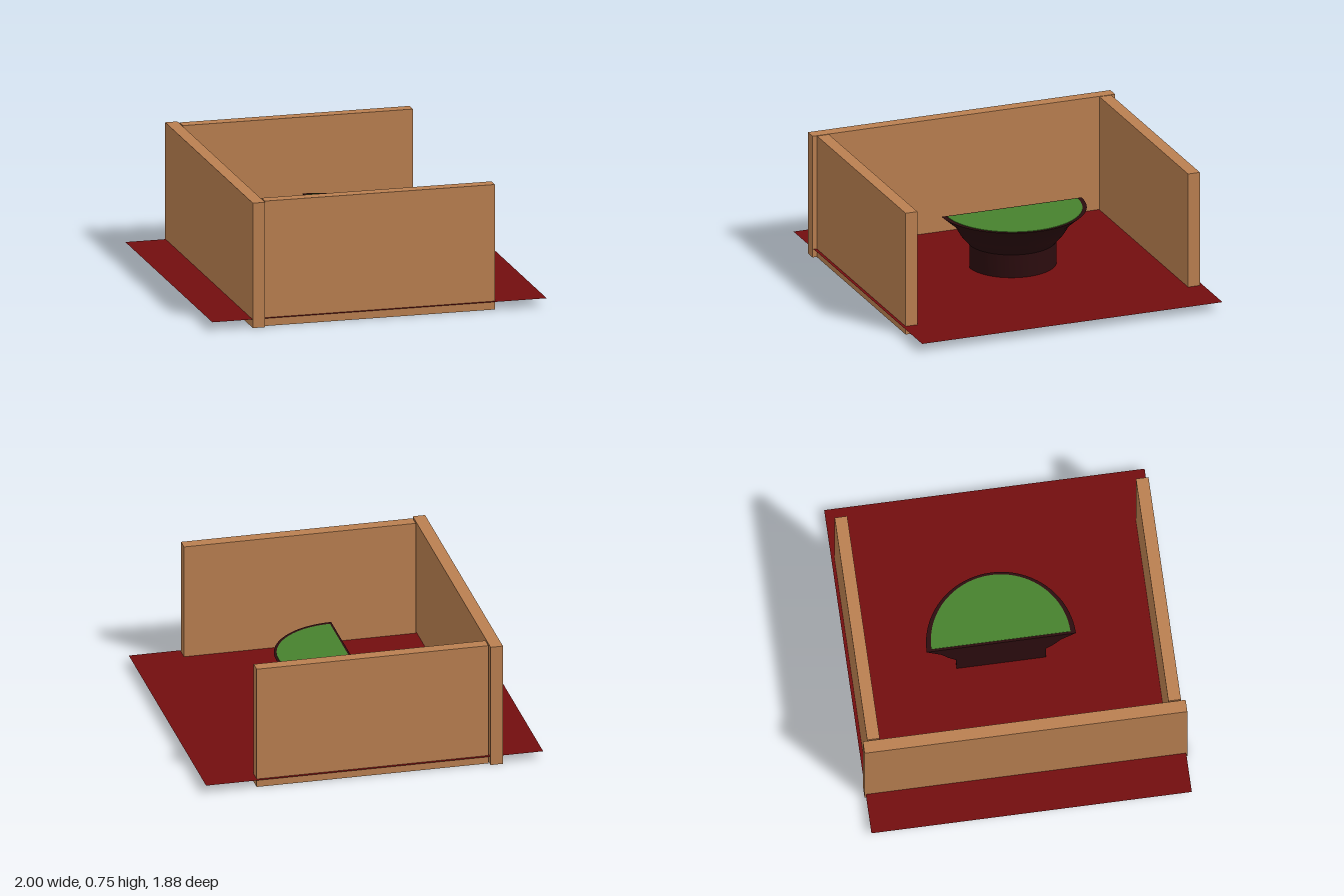
import * as THREE from 'three';
import { toCreasedNormals } from 'three/addons/utils/BufferGeometryUtils.js';

const mat = (name, color, side = THREE.FrontSide) => {
  const m = new THREE.MeshStandardMaterial({ color, side });
  m.name = name;
  return m;
};

export function createModel() {
  const wood = mat('tan wood', 0xb97f50);
  const carpet = mat('dark red carpet', 0x720d0e, THREE.DoubleSide);
  const darkWood = mat('very dark wood', 0x2b0c0e, THREE.DoubleSide);
  const felt = mat('green felt', 0x47812d);

  const model = new THREE.Group();
  const add = (parent, name, geometry, material, x = 0, y = 0, z = 0) => {
    const mesh = new THREE.Mesh(geometry, material);
    mesh.name = name;
    mesh.position.set(x, y, z);
    parent.add(mesh);
    return mesh;
  };

  // Floor sheet, slightly above the feet of the walls
  const floorY = 0.05;
  add(model, 'floor', new THREE.PlaneGeometry(2, 1.863).rotateX(-Math.PI / 2), carpet, 0, floorY, 0);

  // Three walls, open on the +x side
  const wallHeight = 0.745;
  add(model, 'longWall', new THREE.BoxGeometry(0.073, wallHeight, 1.877), wood, -0.723, wallHeight / 2, 0);
  for (const [name, side] of [['frontWall', 1], ['rearWall', -1]]) {
    add(model, name, new THREE.BoxGeometry(1.375, wallHeight, 0.073), wood, 0.0075, wallHeight / 2, side * 0.876);
  }

  // Half-round table: flared pedestal body
  const table = new THREE.Group();
  table.name = 'table';
  table.position.set(-0.066, 0, -0.048);
  model.add(table);

  const topY = 0.388;
  const profile = [[0.26, floorY], [0.26, 0.19], [0.31, 0.25], [0.345, 0.31], [0.434, topY]]
    .map(([r, y]) => new THREE.Vector2(r, y));
  const body = new THREE.LatheGeometry([...profile, new THREE.Vector2(0, topY)], 40, 0, Math.PI);
  add(table, 'tableBody', toCreasedNormals(body, 0.5), darkWood);

  // Flat side of the table, facing the long wall
  const outline = [...profile, ...profile.map((p) => new THREE.Vector2(-p.x, p.y)).reverse()];
  const flat = new THREE.ShapeGeometry(new THREE.Shape(outline)).rotateY(-Math.PI / 2);
  add(table, 'tableFlatSide', flat, darkWood);

  // Felt playing surface, inset from the rim
  const feltShape = new THREE.Shape();
  feltShape.absarc(0, 0, 0.404, -Math.PI / 2, Math.PI / 2, false);
  feltShape.closePath();
  const feltGeometry = new THREE.ExtrudeGeometry(feltShape, { depth: 0.004, bevelEnabled: false, curveSegments: 40 });
  add(table, 'feltTop', feltGeometry.rotateX(-Math.PI / 2), felt, 0.014, topY - 0.001, 0);

  return model;
}
